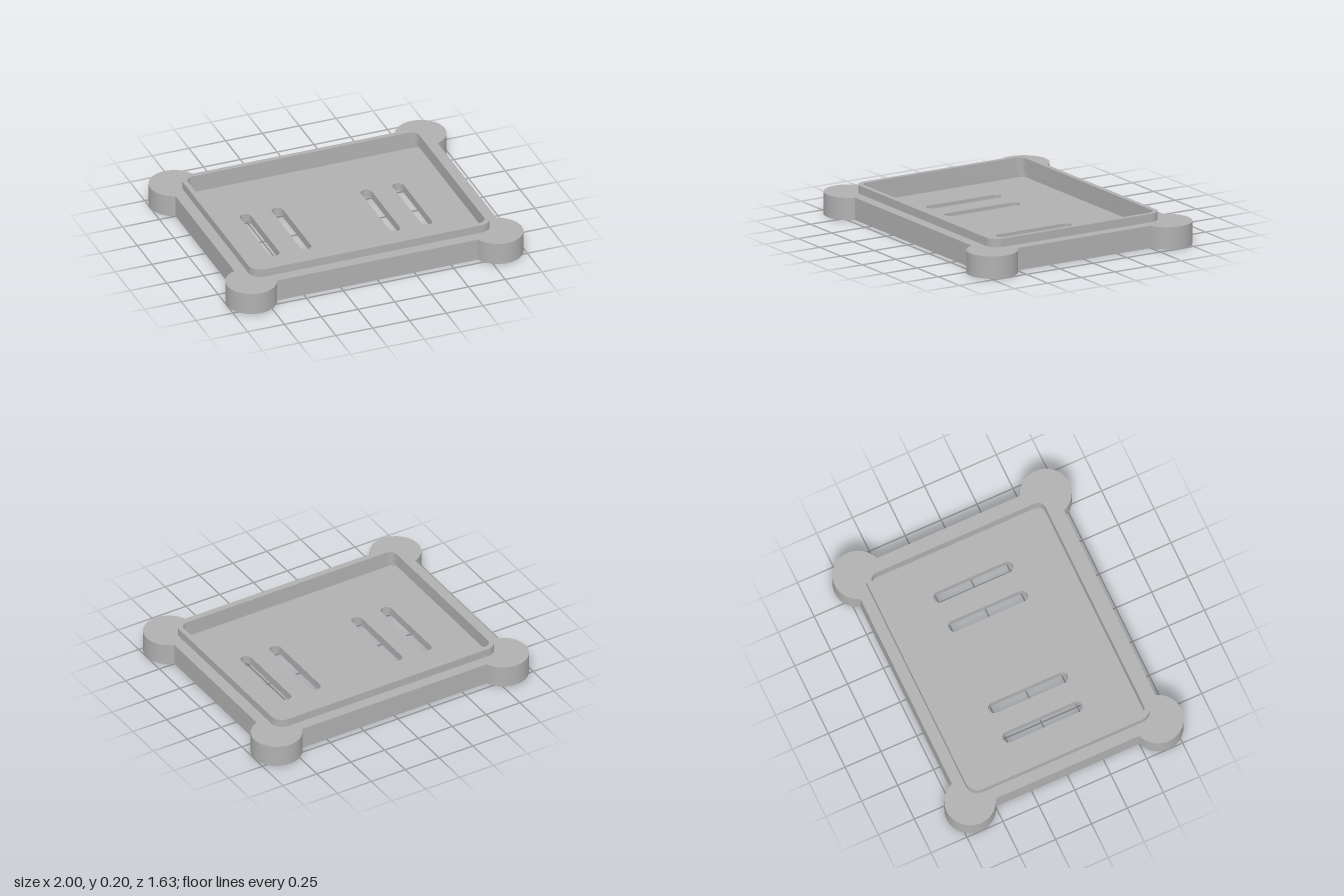
import * as THREE from 'three';
import { toCreasedNormals } from 'three/addons/utils/BufferGeometryUtils.js';

const HALF_X = 0.89, HALF_Z = 0.708;            // plate
const FOOT_X = 0.837, FOOT_Z = 0.653, FOOT_R = 0.163;

// Plate outline with a round lug at each corner, counter-clockwise
function plateOutline() {
  const dx = HALF_X - FOOT_X, dz = HALF_Z - FOOT_Z;
  const side = Math.atan2(-Math.sqrt(FOOT_R ** 2 - dx ** 2), dx);
  const end = Math.atan2(dz, -Math.sqrt(FOOT_R ** 2 - dz ** 2));
  const shape = new THREE.Shape();
  shape.absarc(FOOT_X, FOOT_Z, FOOT_R, side, end, false);
  shape.absarc(-FOOT_X, FOOT_Z, FOOT_R, Math.PI - end, Math.PI - side, false);
  shape.absarc(-FOOT_X, -FOOT_Z, FOOT_R, Math.PI + side, Math.PI + end, false);
  shape.absarc(FOOT_X, -FOOT_Z, FOOT_R, -end, -side, false);
  shape.closePath();
  return shape;
}

// Rounded rectangle by centre and half sizes
function roundRect(cx, hx, hz, r, Type = THREE.Path) {
  const p = new Type();
  p.absarc(cx + hx - r, hz - r, r, 0, Math.PI / 2, false);
  p.absarc(cx - hx + r, hz - r, r, Math.PI / 2, Math.PI, false);
  p.absarc(cx - hx + r, -hz + r, r, Math.PI, Math.PI * 1.5, false);
  p.absarc(cx + hx - r, -hz + r, r, Math.PI * 1.5, Math.PI * 2, false);
  p.closePath();
  return p;
}

export function createModel() {
  const group = new THREE.Group();
  group.name = 'coverPlate';
  const grey = new THREE.MeshStandardMaterial({ color: 0xb0b0b0 });
  grey.name = 'grey';

  // Horizontal slab between two heights, with holes cut through
  function slab(name, shape, holes, y0, y1) {
    shape.holes.push(...holes);
    const geo = new THREE.ExtrudeGeometry(shape, { depth: y1 - y0, bevelEnabled: false, curveSegments: 24 });
    geo.rotateX(-Math.PI / 2);
    geo.translate(0, y0, 0);
    const mesh = new THREE.Mesh(toCreasedNormals(geo, 0.6), grey);
    mesh.name = name;
    group.add(mesh);
  }

  const opening = () => roundRect(0, 0.785, 0.602, 0.05);
  const slots = [-0.518, -0.302, 0.302, 0.518].map((x) => roundRect(x, 0.037, 0.275, 0.037));

  slab('slottedFloor', plateOutline(), slots, 0, 0.055);
  // The pocket is a little wider than the opening above it
  slab('pocketWall', plateOutline(), [roundRect(0, 0.83, 0.647, 0.05)], 0.055, 0.11);
  slab('topLedge', plateOutline(), [opening()], 0.11, 0.146);
  slab('raisedRim', roundRect(0, 0.816, 0.635, 0.08, THREE.Shape), [opening()], 0.146, 0.2);

  return group;
}
